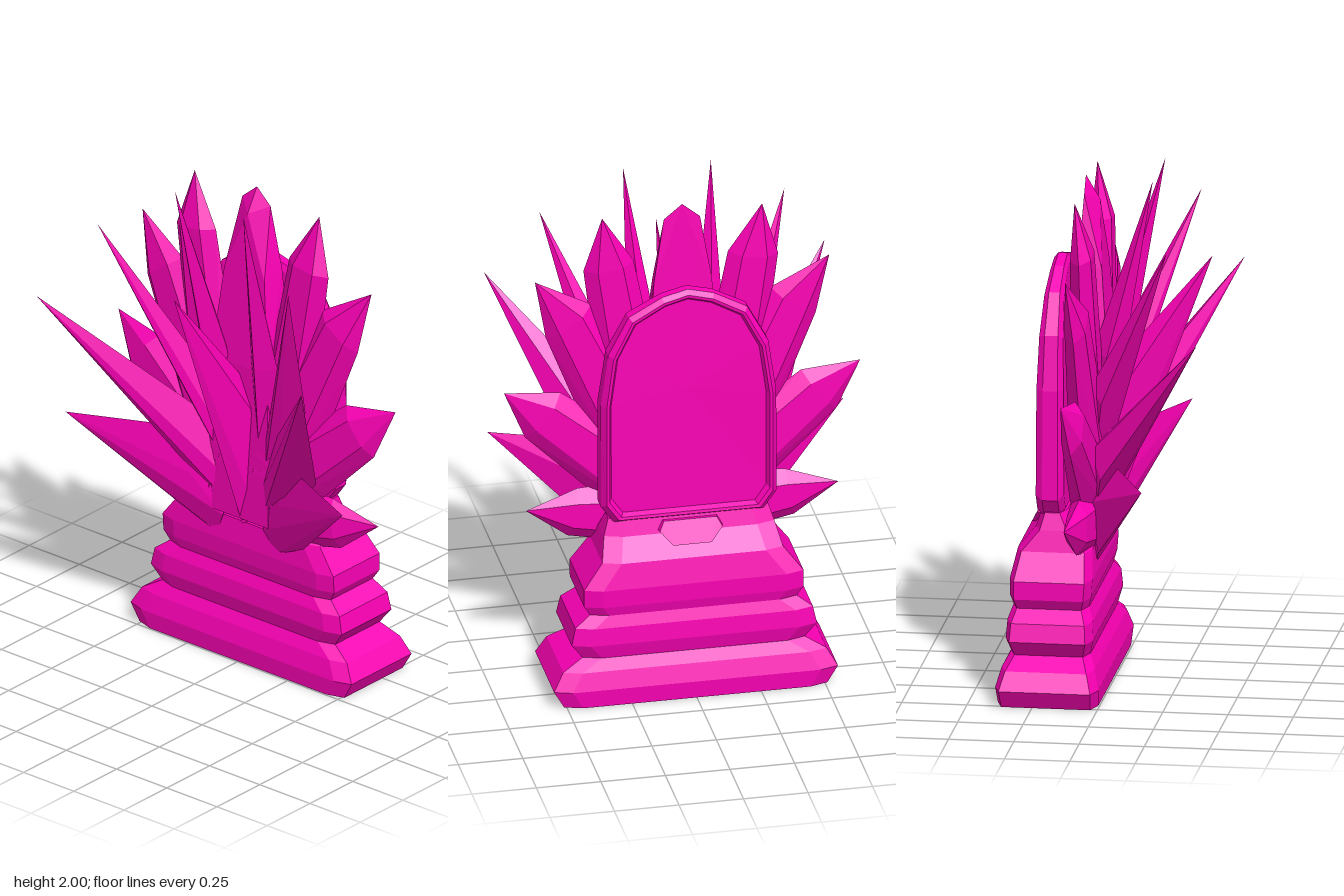
import * as THREE from 'three';
import { ConvexGeometry } from 'three/addons/geometries/ConvexGeometry.js';

const material = new THREE.MeshStandardMaterial({ color: 0xfa00b4, flatShading: true });
const V = (x, y, z) => new THREE.Vector3(x, y, z);

function addPart(parent, name, geometry) {
  const mesh = new THREE.Mesh(geometry, material);
  mesh.name = name;
  parent.add(mesh);
}

// Skin a stack of equal-length rings and close both ends
function loft(rings) {
  const pos = [], n = rings[0].length;
  const tri = (...points) => points.forEach(p => pos.push(p.x, p.y, p.z));
  const centre = ring => ring.reduce((s, p) => s.add(p), V(0, 0, 0)).divideScalar(n);
  const first = rings[0], last = rings[rings.length - 1];
  for (let j = 0; j < n; j++) {
    const k = (j + 1) % n;
    for (let i = 0; i < rings.length - 1; i++) {
      const [a, b] = [rings[i], rings[i + 1]];
      tri(a[j], a[k], b[k]);
      tri(a[j], b[k], b[j]);
    }
    tri(centre(first), first[k], first[j]);
    tri(centre(last), last[j], last[k]);
  }
  const g = new THREE.BufferGeometry();
  g.setAttribute('position', new THREE.Float32BufferAttribute(pos, 3));
  g.computeVertexNormals();
  return g;
}

// Rectangular plan ring with cut corners
function plinthRing([y, x0, x1, z]) {
  const cx = 0.022, cz = 0.07;
  return [[x1, z - cz], [x1, cz - z], [x1 - cx, -z], [x0 + cx, -z],
    [x0, cz - z], [x0, z - cz], [x0 + cx, z], [x1 - cx, z]].map(([x, zz]) => V(x, y, zz));
}

// Pointed crystal: root ring, shoulder ring, sharp tip; sizes are [half width, half depth]
function crystal(root, shoulder, tip, rootSize, shoulderSize, sides) {
  const dir = tip.clone().sub(shoulder).normalize();
  const side = V(1, 0, 0).cross(dir).normalize();
  const depth = dir.clone().cross(side).normalize();
  const points = [tip];
  for (const [centre, [w, d]] of [[root, rootSize], [shoulder, shoulderSize]]) {
    for (let i = 0; i < sides; i++) {
      const a = i / sides * Math.PI * 2;
      points.push(centre.clone()
        .addScaledVector(side, Math.cos(a) * w)
        .addScaledVector(depth, Math.sin(a) * d));
    }
  }
  return new ConvexGeometry(points);
}

export function createModel() {
  const model = new THREE.Group();
  model.name = 'crystalPortal';

  // Stepped plinth: y, back x, front x, half width
  const tiers = [
    [0, 0.005, 0.39, 0.51], [0.07, 0, 0.395, 0.55], [0.14, 0.02, 0.375, 0.51], [0.185, 0.045, 0.35, 0.43],
    [0.245, 0.03, 0.365, 0.475], [0.315, 0.035, 0.36, 0.46], [0.36, 0.055, 0.345, 0.4],
    [0.4, 0.045, 0.355, 0.425], [0.47, 0.04, 0.355, 0.425], [0.57, 0.05, 0.335, 0.35],
    [0.65, 0.12, 0.268, 0.33], [0.715, 0.15, 0.25, 0.31],
  ];
  addPart(model, 'plinth', loft(tiers.map(plinthRing)));

  // Small plaque on the plinth's front slope
  const plaque = [];
  for (const s of [-1, 1]) {
    for (const [z, y, x] of [[0.11, 0.7, 0.268], [0.13, 0.665, 0.285], [0.08, 0.615, 0.312]]) {
      plaque.push(V(0.23, y, s * z), V(x, y, s * z * 0.93));
    }
  }
  addPart(model, 'plaque', new ConvexGeometry(plaque));

  // Arched frame with a recessed panel, thinner toward the top
  const half = [[0.29, 0.7], [0.34, 0.77], [0.34, 1.2], [0.31, 1.41], [0.23, 1.56], [0.1, 1.63]];
  const outline = [...half.map(([z, y]) => [-z, y]), [0, 1.655], ...half.slice().reverse()];
  const archRing = (x, inset) => outline.map(([z, y]) => {
    const t = Math.max(0, (y - 0.8) / 0.85);
    return V(0.2 + (x - 0.2) * (1 - 0.42 * t ** 3), 1.17 + (y - 1.17) * (1 - inset / 0.475), z * (1 - inset / 0.34));
  });
  const frameProfile = [[0.155, 0.025], [0.175, 0], [0.235, 0], [0.262, 0.018], [0.26, 0.03], [0.238, 0.04]];
  addPart(model, 'archFrameAndPanel', loft(frameProfile.map(([x, i]) => archRing(x, i))));

  // Flat crystals fanned behind the arch: root, shoulder and tip as [z, y], then half width
  const fan = new THREE.Group();
  fan.name = 'crystalFan';
  model.add(fan);
  const blades = [
    { root: [0.13, 0.8], shoulder: [0.28, 1.72], tip: [0.31, 1.935], w: 0.098 },
    { root: [0.14, 0.85], shoulder: [0.435, 1.5], tip: [0.57, 1.69], w: 0.108 },
    { root: [0.14, 0.77], shoulder: [0.535, 1.11], tip: [0.69, 1.23], w: 0.112 },
    { root: [0.15, 0.66], shoulder: [0.42, 0.685], tip: [0.605, 0.72], w: 0.1 },
  ];
  for (const s of [1, -1]) {
    for (const { root, shoulder, tip, w } of blades) {
      addPart(fan, 'fanCrystal', crystal(V(0.08, root[1], s * root[0]), V(0.09, shoulder[1], s * shoulder[0]),
        V(0.115, tip[1], s * tip[0]), [w * 1.35, 0.078], [w, 0.046], 6));
    }
  }

  // Broad central crystal with a blunt top
  const centre = [V(0.115, 1.965, 0), V(0.06, 1.87, 0)];
  for (const s of [-1, 1]) {
    centre.push(V(0.112, 1.905, s * 0.07), V(0.13, 1.65, s * 0.112), V(0.04, 1.62, s * 0.1),
      V(0.15, 1.25, s * 0.14), V(0.012, 1.25, s * 0.14), V(0.152, 0.6, s * 0.14), V(0.015, 0.6, s * 0.14));
  }
  addPart(fan, 'centreCrystal', new ConvexGeometry(centre));

  // Long spikes sweeping backward: root, shoulder, tip, half width, half depth
  const spikes = new THREE.Group();
  spikes.name = 'backSpikes';
  model.add(spikes);
  const sweep = [
    [[0.07, 0.85, 0.08], [0.01, 1.3, 0.125], [-0.165, 1.995, 0.17], 0.065, 0.06],
    [[0.07, 0.8, 0.1], [0.01, 1.18, 0.26], [-0.26, 1.795, 0.475], 0.075, 0.055],
    [[0.07, 0.65, 0.1], [0.005, 0.94, 0.29], [-0.4, 1.485, 0.66], 0.12, 0.055],
    [[0.055, 0.58, 0.11], [0.025, 0.74, 0.24], [-0.195, 0.91, 0.69], 0.19, 0.045],
  ];
  for (const s of [1, -1]) {
    for (const [r, m, t, w, d] of sweep) {
      const at = ([x, y, z]) => V(x, y, s * z);
      addPart(spikes, 'backSpike', crystal(at(r), at(m), at(t), [w * 0.55, d * 0.55], [w, d], 4));
    }
  }
  addPart(spikes, 'centreSpike', crystal(V(0.07, 0.6, 0), V(0.01, 1.08, 0), V(-0.37, 1.665, 0),
    [0.04, 0.05], [0.06, 0.09], 4));

  return model;
}
